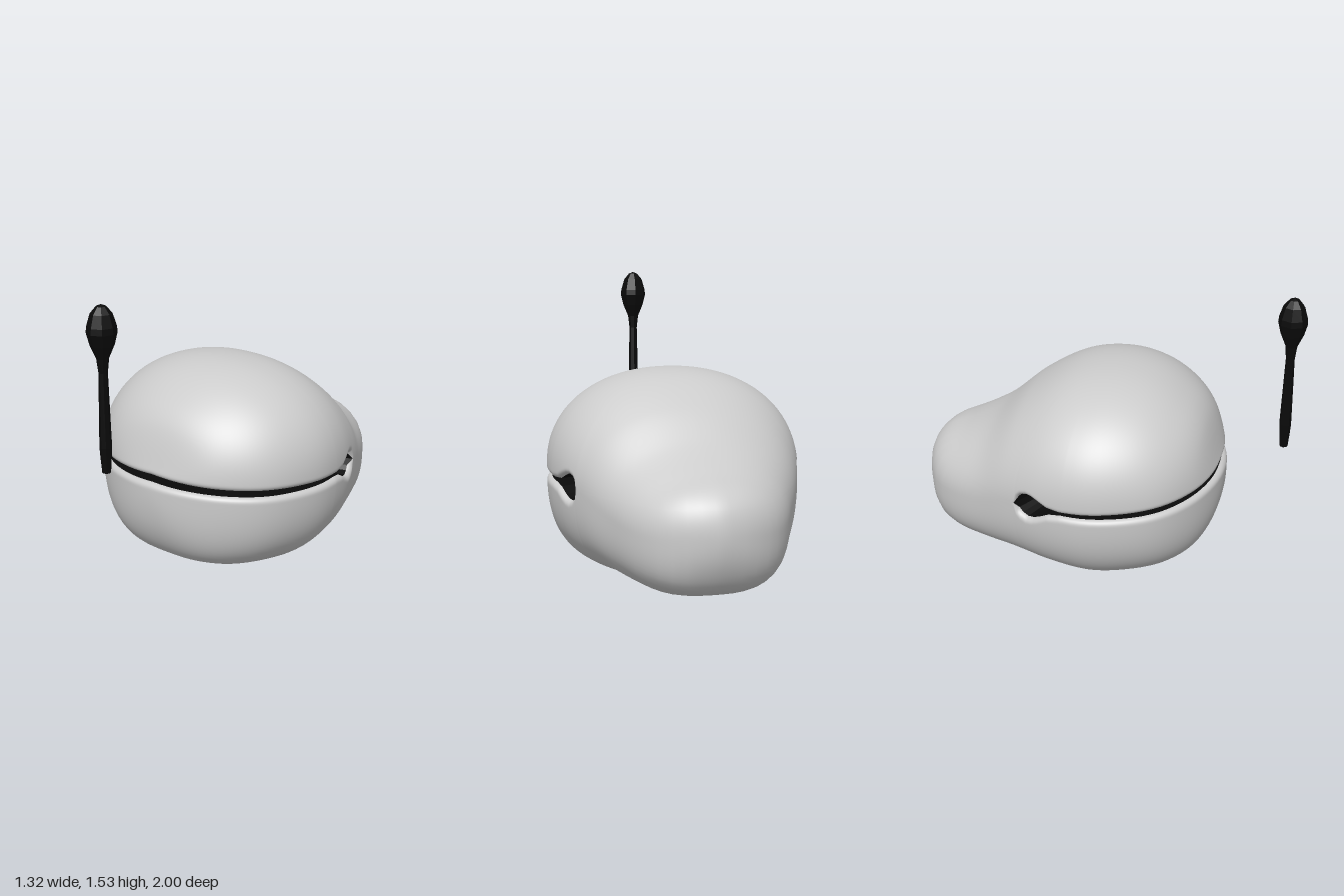
import * as THREE from 'three';
import { mergeVertices } from 'three/addons/utils/BufferGeometryUtils.js';

const GREY = new THREE.MeshStandardMaterial({ color: 0xcccccc });
const DARK = new THREE.MeshStandardMaterial({ color: 0x0a0a0a, side: THREE.DoubleSide });
const DARK_FLAT = new THREE.MeshStandardMaterial({ color: 0x0a0a0a, flatShading: true });

// Body sections from tail to front, evenly spaced in angle along z
const Z_MID = -0.185, Z_HALF = 0.815;
const TOP = [0.38, 0.51, 0.595, 0.65, 0.745, 0.915, 1.035, 1.07, 1.045, 0.965, 0.84, 0.63, 0.5];
const BOTTOM = [0.38, 0.23, 0.105, 0.055, 0.045, 0.045, 0.02, 0.003, 0.025, 0.065, 0.14, 0.29, 0.5];
const WIDTH = [0, 0.15, 0.29, 0.385, 0.465, 0.56, 0.635, 0.66, 0.617, 0.525, 0.375, 0.19, 0];
const WIDEST = [0.38, 0.375, 0.37, 0.38, 0.42, 0.5, 0.55, 0.57, 0.57, 0.56, 0.55, 0.52, 0.5];

// Smooth interpolation in an evenly spaced table
function sample(table, u) {
  const n = table.length - 1;
  const i = Math.min(n - 1, Math.floor(u * n)), f = u * n - i;
  const p1 = table[i], p2 = table[i + 1];
  const p0 = i > 0 ? table[i - 1] : 2 * p1 - p2;
  const p3 = i < n - 1 ? table[i + 2] : 2 * p2 - p1;
  return p1 + 0.5 * f * (p2 - p0 + f * (2 * p0 - 5 * p1 + 4 * p2 - p3 + f * (3 * (p1 - p2) + p3 - p0)));
}

// Rounder dome above the widest line, squarer belly below it
function inside(x, y, z) {
  const c = (z - Z_MID) / Z_HALF;
  if (Math.abs(c) >= 1) return false;
  const u = Math.acos(-c) / Math.PI;
  const mid = sample(WIDEST, u);
  const upper = y > mid;
  const h = upper ? sample(TOP, u) - mid : mid - sample(BOTTOM, u);
  const n = upper ? 2.15 : 2.9;
  return Math.pow(Math.abs(x) / sample(WIDTH, u), n) + Math.pow(Math.abs(y - mid) / h, n) < 1;
}

// Distance from the core to the body surface in one direction
const CORE_Y = 0.53;
function radius(phi, elev) {
  const dx = Math.sin(phi) * Math.cos(elev), dy = Math.sin(elev), dz = Math.cos(phi) * Math.cos(elev);
  let lo = 0, hi = 1.4;
  for (let k = 0; k < 26; k++) {
    const m = (lo + hi) / 2;
    if (inside(dx * m, CORE_Y + dy * m, dz * m)) lo = m; else hi = m;
  }
  return lo;
}

function point(phi, elev, r) {
  return [Math.sin(phi) * Math.cos(elev) * r, CORE_Y + Math.sin(elev) * r, Math.cos(phi) * Math.cos(elev) * r];
}

// Mouth slot: half height against degrees from the front, with a round end
const SLOT = [[0, 0.02], [60, 0.018], [98, 0.013], [104, 0.023], [109, 0.052], [112, 0.066],
  [115, 0.07], [118, 0.058], [120, 0.036], [121, 0]];
function slotHalf(deg) {
  for (let i = 1; i < SLOT.length; i++) {
    const [a, ha] = SLOT[i - 1], [b, hb] = SLOT[i];
    if (deg <= b) return ha + (hb - ha) * (deg - a) / (b - a);
  }
  return 0;
}

function makeBody() {
  // Azimuth columns, denser around the slot ends
  const half = [];
  for (let d = 0; d < 96; d += 4) half.push(d);
  for (let d = 96; d < 122; d += 1) half.push(d);
  for (let d = 122; d <= 180; d += 4) half.push(d);
  if (half[half.length - 1] !== 180) half.push(180);
  const degs = [...half.slice(1).reverse().map((d) => -d), ...half];

  const ROWS = 46, LIP = 0.028;
  const pos = [], shellIndex = [], lining = [];
  const edges = [];
  for (const deg of degs) {
    const a = Math.abs(deg), phi = THREE.MathUtils.degToRad(deg);
    const gap = slotHalf(a);
    const r0 = radius(phi, 0);
    const midY = 0.568 - 0.058 * Math.min(a, 115) / 115 - CORE_Y;
    const lipScale = Math.min(1, gap / 0.013);
    const column = { open: gap > 0 };
    for (const side of [-1, 1]) {
      const edge = Math.atan2(midY + side * gap, r0);
      for (let i = 0; i <= ROWS; i++) {
        // Rows run from the slot edge to the pole, closest together at the lip
        const v = Math.pow(i / ROWS, 1.8);
        const elev = edge + (side * Math.PI / 2 - edge) * v;
        let r = radius(phi, elev);
        const d = Math.abs(elev - edge) * r0;
        if (d < LIP) r -= lipScale * (LIP - Math.sqrt(LIP * LIP - (LIP - d) ** 2));
        const p = point(phi, elev, r);
        if (i === 0) column[side] = p;
        pos.push(...p);
      }
    }
    edges.push(column);
  }

  const stride = 2 * (ROWS + 1);
  for (let c = 0; c < degs.length - 1; c++) {
    for (const side of [0, 1]) {
      for (let i = 0; i < ROWS; i++) {
        const a = c * stride + side * (ROWS + 1) + i, b = a + stride;
        if (side) shellIndex.push(a, b, b + 1, a, b + 1, a + 1);
        else shellIndex.push(a, b + 1, b, a, a + 1, b + 1);
      }
    }
    // Dark slot walls taper from the lips to one point deep inside
    if (edges[c].open || edges[c + 1].open) {
      for (const side of [-1, 1]) lining.push(...edges[c][side], ...edges[c + 1][side], 0, CORE_Y, 0.05);
    }
  }

  let shell = new THREE.BufferGeometry();
  shell.setAttribute('position', new THREE.Float32BufferAttribute(pos, 3));
  shell.setIndex(shellIndex);
  shell = mergeVertices(shell, 1e-5);
  shell.computeVertexNormals();
  const body = new THREE.Mesh(shell, GREY);
  body.name = 'body';

  const wall = new THREE.BufferGeometry();
  wall.setAttribute('position', new THREE.Float32BufferAttribute(lining, 3));
  wall.computeVertexNormals();
  const slot = new THREE.Mesh(wall, DARK);
  slot.name = 'slotLining';
  return [body, slot];
}

// Eight-sided mallet standing upright in front of the body
function makeMallet() {
  const profile = [[0, 0.708], [0.021, 0.71], [0.027, 0.79], [0.03, 0.84], [0.022, 1.21], [0.03, 1.28],
    [0.058, 1.345], [0.073, 1.405], [0.07, 1.435], [0.052, 1.495], [0.024, 1.528], [0, 1.537]];
  const geometry = new THREE.LatheGeometry(profile.map(([r, y]) => new THREE.Vector2(r, y)), 8);
  const mallet = new THREE.Mesh(geometry, DARK_FLAT);
  mallet.name = 'mallet';
  mallet.position.z = 0.926;
  return mallet;
}

export function createModel() {
  const model = new THREE.Group();
  model.name = 'woodenTempleBlock';
  model.add(...makeBody(), makeMallet());
  return model;
}
